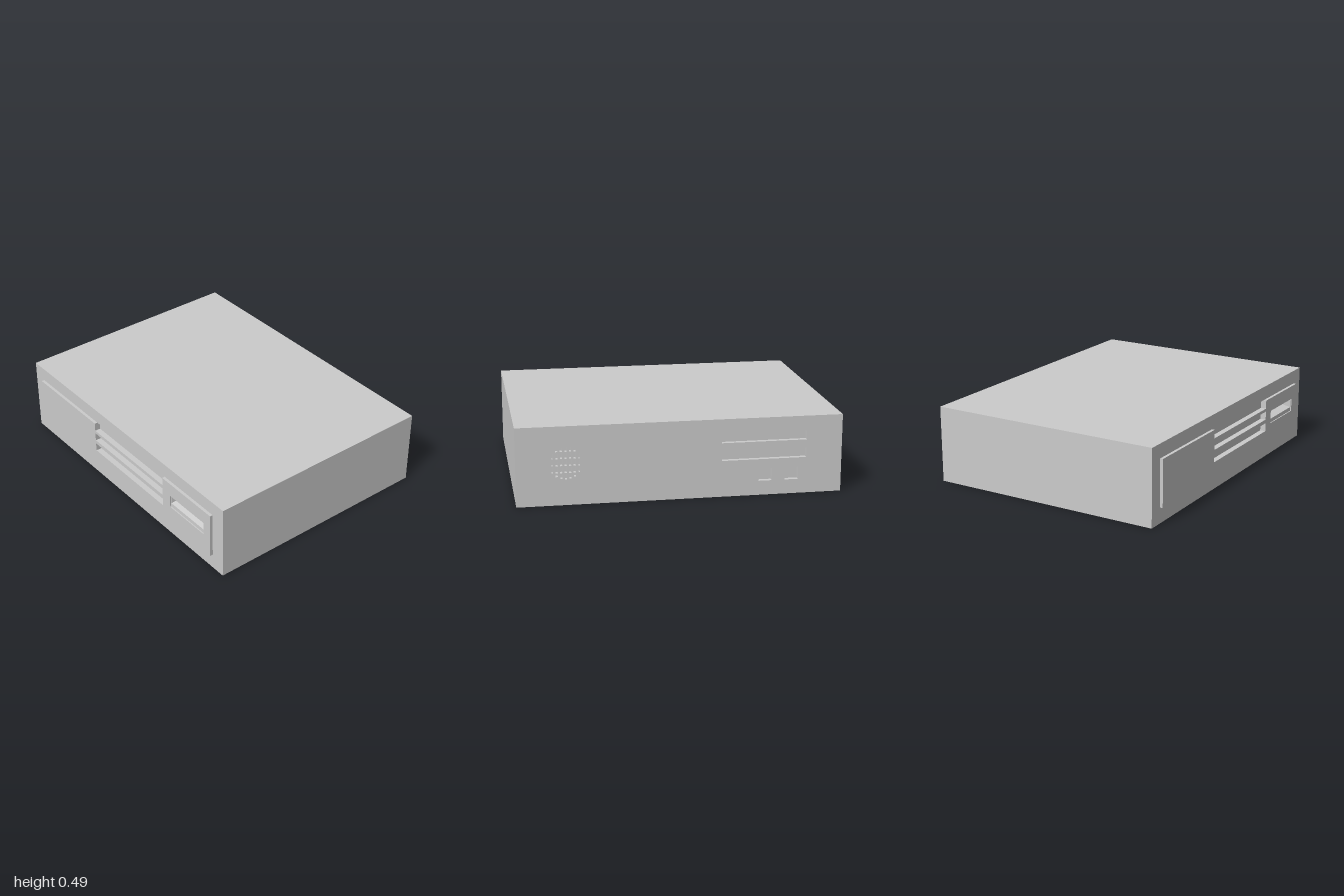
import * as THREE from 'three';

const material = new THREE.MeshStandardMaterial({ color: 0xcccccc, flatShading: true });
const W = 1, H = 0.49, BACK = -0.772, FACE = 0.753, PANEL = 0.772;

// Rectangles are [x0, x1, y0, y1]
const driveSlots = [0.19, 0.27, 0.345].map(y => [-0.28, 0.44, y, y + 0.055]);
const pocket = [0.515, 0.84, 0.225, 0.31];
const rearCutouts = [
  [-0.777, -0.248, 0.34, 0.397], [-0.777, -0.248, 0.228, 0.288],
  [-0.562, -0.48, 0.09, 0.168], [-0.727, -0.643, 0.09, 0.168],
];

function rect([x0, x1, y0, y1], PathType = THREE.Path) {
  return new PathType([[x0, y0], [x1, y0], [x1, y1], [x0, y1]].map(p => new THREE.Vector2(...p)));
}

// Round fan grille: columns of upright slits that shrink to dots at the rim
function grilleHoles(cx, cy, radius) {
  const holes = [];
  for (let col = -3; col <= 3; col++) {
    const x = cx + col * 0.027;
    const half = Math.sqrt(Math.max(0, radius ** 2 - (col * 0.027) ** 2));
    const w = Math.abs(col) === 3 ? 0.004 : 0.007;
    for (let row = -2; row <= 2; row++) {
      const y0 = Math.max(row * 0.044 - 0.017, -half), y1 = Math.min(row * 0.044 + 0.017, half);
      if (y1 - y0 > 0.006) holes.push([x - w, x + w, cy + y0, cy + y1]);
    }
  }
  return holes;
}

// Loft of rectangular sections, seen from inside, closed at the deep end
function pocketGeometry(sections) {
  const pos = [], index = [];
  for (const [x0, x1, y0, y1, z] of sections) pos.push(x0, y0, z, x1, y0, z, x1, y1, z, x0, y1, z);
  for (let s = 0; s < sections.length - 1; s++) {
    for (let i = 0; i < 4; i++) {
      const a = s * 4 + i, b = s * 4 + (i + 1) % 4;
      index.push(a, b, b + 4, a, b + 4, a + 4);
    }
  }
  const e = (sections.length - 1) * 4;
  index.push(e, e + 1, e + 2, e, e + 2, e + 3);
  const g = new THREE.BufferGeometry();
  g.setAttribute('position', new THREE.Float32BufferAttribute(pos, 3));
  g.setIndex(index);
  const flat = g.toNonIndexed();
  flat.computeVertexNormals();
  return flat;
}

export function createModel() {
  const model = new THREE.Group();
  model.name = 'desktopComputer';

  const add = (name, geometry) => {
    const mesh = new THREE.Mesh(geometry, material);
    mesh.name = name;
    model.add(mesh);
    return mesh;
  };
  const box = (name, x0, x1, y0, y1, z0, z1) =>
    add(name, new THREE.BoxGeometry(x1 - x0, y1 - y0, z1 - z0))
      .position.set((x0 + x1) / 2, (y0 + y1) / 2, (z0 + z1) / 2);
  const plate = (name, shape, holes, z0, z1) => {
    shape.holes = holes.map(h => rect(h));
    add(name, new THREE.ExtrudeGeometry(shape, { depth: z1 - z0, bevelEnabled: false })).position.z = z0;
  };

  // Case: solid core between a pierced front and rear wall
  const frontCore = 0.66, rearCore = BACK + 0.03;
  box('caseBody', -W, W, 0, H, rearCore, frontCore);
  const wall = () => rect([-W, W, 0, H], THREE.Shape);
  plate('caseFront', wall(), [...driveSlots, pocket], frontCore, FACE);
  plate('caseRear', wall(), [...rearCutouts, ...grilleHoles(0.7, 0.262, 0.1)], BACK, rearCore);

  // Raised front panel, its top edge notched by the highest drive slot
  const [sx0, sx1, sy0, sy1] = driveSlots[2];
  const outline = new THREE.Shape([
    [-0.908, 0.1], [0.905, 0.1], [0.905, sy1], [sx1, sy1], [sx1, sy0],
    [sx0, sy0], [sx0, sy1], [-0.908, sy1],
  ].map(p => new THREE.Vector2(...p)));
  plate('frontPanel', outline, [driveSlots[0], driveSlots[1], pocket], FACE, PANEL);

  // Drive faces at the bottom of each slot
  for (const [x0, x1, y0, y1] of driveSlots) box('driveFace', x0, x1, y0, y1, frontCore, 0.735);

  // Wedge-shaped disk drive pocket with a small lip
  const [px0, px1, py0, py1] = pocket;
  add('diskPocket', pocketGeometry([
    [px0, px1, py0, py1, PANEL],
    [px0, px1, py0, py1, 0.765],
    [px0 + 0.002, px1 - 0.002, 0.25, py1 - 0.001, 0.764],
    [px0 + 0.02, px1 - 0.02, 0.275, 0.28, 0.68],
  ]));

  return model;
}
